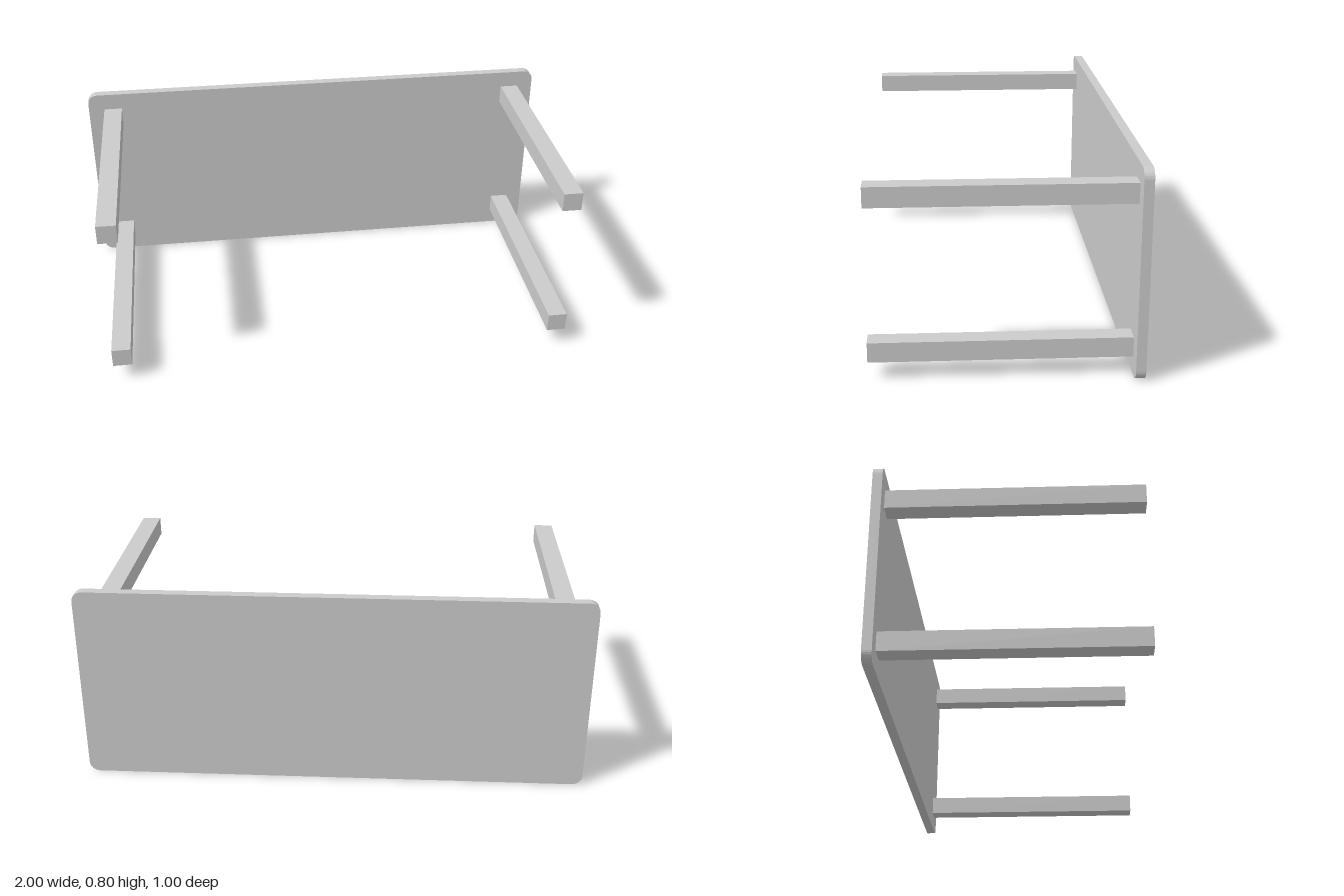
import * as THREE from 'three';

const WIDTH = 2, HEIGHT = 0.8, THICK = 0.037, RADIUS = 0.04;
const LEG = 0.076, LEG_X = 0.895, LEG_Y = 0.293, DEPTH = 1;

// Rounded rectangle centred on the origin
function roundedRect(w, h, r) {
  const x = w / 2 - r, y = h / 2 - r;
  const s = new THREE.Shape();
  s.absarc(x, y, r, 0, Math.PI / 2);
  s.absarc(-x, y, r, Math.PI / 2, Math.PI);
  s.absarc(-x, -y, r, Math.PI, Math.PI * 1.5);
  s.absarc(x, -y, r, Math.PI * 1.5, Math.PI * 2);
  s.closePath();
  return s;
}

export function createModel() {
  const group = new THREE.Group();
  group.name = 'table';
  const material = new THREE.MeshStandardMaterial({ color: 0xcccccc, flatShading: true });

  // Table top, standing on its long edge at the back
  const top = new THREE.Mesh(
    new THREE.ExtrudeGeometry(roundedRect(WIDTH, HEIGHT, RADIUS), {
      depth: THICK, bevelEnabled: false, curveSegments: 4,
    }),
    material
  );
  top.name = 'tableTop';
  top.position.set(0, HEIGHT / 2, -DEPTH / 2);
  group.add(top);

  // Four square legs pointing forward
  const legLength = DEPTH - THICK;
  const legGeometry = new THREE.BoxGeometry(LEG, LEG, legLength);
  for (const [side, sx] of [['Left', 1], ['Right', -1]]) {
    for (const [level, sy] of [['upper', 1], ['lower', -1]]) {
      const leg = new THREE.Mesh(legGeometry, material);
      leg.name = `${level}${side}Leg`;
      leg.position.set(sx * LEG_X, HEIGHT / 2 + sy * LEG_Y, DEPTH / 2 - legLength / 2);
      group.add(leg);
    }
  }
  return group;
}
